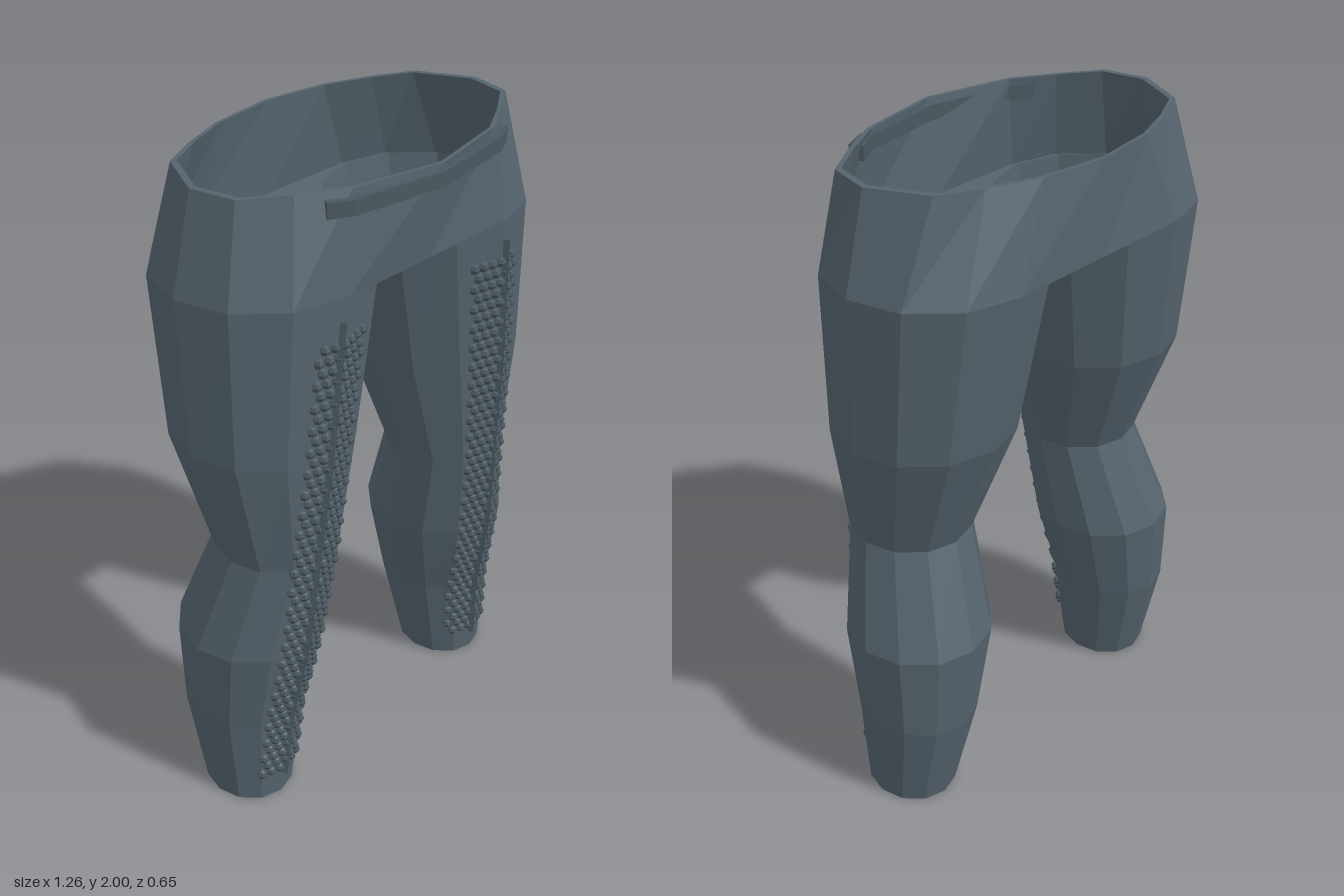
import * as THREE from 'three';
import { mergeGeometries } from 'three/addons/utils/BufferGeometryUtils.js';

const SIDES = 12;
const WALL = 0.02;
const HIP_Y = 1.73;

// Leg sections: y, centre x, radius x, centre z, radius z
const SECTIONS = [
  [0, 0.465, 0.13, -0.005, 0.145],
  [0.32, 0.448, 0.172, -0.03, 0.192],
  [0.6, 0.417, 0.213, -0.015, 0.225],
  [0.91, 0.366, 0.176, 0.055, 0.185],
  [1.27, 0.35, 0.26, 0, 0.265],
  [HIP_Y, 0.307, 0.305, -0.02, 0.305],
];

const cloth = new THREE.MeshStandardMaterial({ color: 0x55636d, flatShading: true });
const clothTwoSided = new THREE.MeshStandardMaterial({ color: 0x55636d, flatShading: true, side: THREE.DoubleSide });
const trim = new THREE.MeshStandardMaterial({ color: 0x4a5760, flatShading: true });

function addMesh(parent, name, geometry, material) {
  const mesh = new THREE.Mesh(geometry, material);
  mesh.name = name;
  parent.add(mesh);
}

// Skins a closed chain of rings: up the outside, down the inside, back to the start
function loftShell(rings) {
  const n = rings[0].length;
  const index = [];
  rings.forEach((_, i) => {
    const next = (i + 1) % rings.length;
    for (let j = 0; j < n; j++) {
      const k = (j + 1) % n;
      const a = i * n + j, b = i * n + k, c = next * n + k, d = next * n + j;
      index.push(a, b, c, a, c, d);
    }
  });
  const geometry = new THREE.BufferGeometry().setFromPoints(rings.flat());
  geometry.setIndex(index);
  const flat = geometry.toNonIndexed();
  flat.computeVertexNormals();
  return flat;
}

function legRing([y, cx, rx, cz, rz], side, inset) {
  return Array.from({ length: SIDES }, (_, j) => {
    const a = (j / SIDES) * Math.PI * 2;
    return new THREE.Vector3(side * cx + (rx - inset) * Math.sin(a), y, cz + (rz - inset) * Math.cos(a));
  });
}

// Front surface depth of the faceted left leg at (x, y)
function frontZ(x, y) {
  let i = 0;
  while (i < SECTIONS.length - 2 && y > SECTIONS[i + 1][0]) i++;
  const p = SECTIONS[i], q = SECTIONS[i + 1];
  const t = (y - p[0]) / (q[0] - p[0]);
  const [, cx, rx, cz, rz] = p.map((v, k) => v + (q[k] - v) * t);
  const u = Math.abs(x - cx) / rx;
  return cz + rz * (u < 0.5 ? 1 - 0.268 * u : 1.366 - u);
}

// Half outline (front centre to back centre) completed by its mirror image
function hipRing(half, y, scale) {
  const mirrored = half.slice(1, -1).reverse().map(([x, z]) => [-x, z]);
  return [...half, ...mirrored].map(([x, z]) => new THREE.Vector3(x * scale, y, z * scale));
}

function makeHips() {
  const [, cx, rx, cz, rz] = SECTIONS[SECTIONS.length - 1];
  const low = [[0, cz + rz]];
  for (let k = 0; k <= 6; k++) {
    const a = (k / SIDES) * Math.PI * 2;
    low.push([cx + rx * Math.sin(a), cz + rz * Math.cos(a)]);
  }
  low.push([0, cz - rz]);
  const high = [
    [0, 0.32], [0.27, 0.262], [0.395, 0.19], [0.51, 0.11], [0.538, -0.02],
    [0.46, -0.18], [0.345, -0.24], [0.2, -0.295], [0, -0.322],
  ];
  return loftShell([
    hipRing(low, HIP_Y, 1), hipRing(high, 2, 1),
    hipRing(high, 2, 0.965), hipRing(low, HIP_Y, 0.965),
  ]);
}

// Flat panel between the tops of the legs, in front (dir 1) or behind (dir -1)
function makeGusset(dir) {
  const [, cx, rx, cz, rz] = SECTIONS[SECTIONS.length - 1];
  const right = [];
  for (let k = 0; k <= 3; k++) {
    const a = (k / SIDES) * Math.PI * 2;
    right.push(new THREE.Vector2(cx - rx * Math.sin(a), cz + dir * rz * Math.cos(a)));
  }
  const left = right.map((p) => new THREE.Vector2(-p.x, p.y)).reverse();
  return new THREE.ShapeGeometry(new THREE.Shape([...right, ...left]))
    .rotateX(Math.PI / 2).translate(0, HIP_Y, 0);
}

// Staggered grid of small beads down the front of a leg
function makeStuds(side) {
  const beads = [];
  const rows = 46, columns = 6;
  for (let r = 0; r < rows; r++) {
    const t = r / (rows - 1);
    const y = 1.6 - 1.49 * t;
    for (let c = 0; c < columns; c++) {
      const x = 0.308 + 0.142 * t + (c - 2.5) * 0.029 + (r % 2 ? 0.007 : -0.007);
      beads.push(new THREE.SphereGeometry(0.016, 6, 4).translate(side * x, y, frontZ(x, y)));
    }
  }
  return mergeGeometries(beads);
}

// Thin piping running through the bead panel
function makePiping(side) {
  const points = [];
  for (let i = 0; i <= 16; i++) {
    const y = 1.67 - (1.59 * i) / 16;
    const x = 0.325 + (0.13 * i) / 16;
    points.push(new THREE.Vector3(side * x, y, frontZ(x, y) + 0.006));
  }
  return new THREE.TubeGeometry(new THREE.CatmullRomCurve3(points), 32, 0.012, 4);
}

// Raised band across the front of the waist
function makeWaistBand() {
  const outer = [[-0.345, 0.25], [-0.28, 0.283], [0, 0.328], [0.28, 0.283], [0.345, 0.25]];
  const inner = [[0.325, 0.215], [0.26, 0.255], [0, 0.3], [-0.26, 0.255], [-0.325, 0.215]];
  const shape = new THREE.Shape([...outer, ...inner].map(([x, z]) => new THREE.Vector2(x, z)));
  return new THREE.ExtrudeGeometry(shape, { depth: 0.042, bevelEnabled: false })
    .rotateX(Math.PI / 2).translate(0, 1.98, 0);
}

export function createModel() {
  const model = new THREE.Group();
  model.name = 'trousers';

  addMesh(model, 'hips', makeHips(), cloth);
  addMesh(model, 'waistBand', makeWaistBand(), trim);
  addMesh(model, 'frontGusset', makeGusset(1), clothTwoSided);
  addMesh(model, 'backGusset', makeGusset(-1), clothTwoSided);

  for (const [label, side] of [['left', 1], ['right', -1]]) {
    const leg = new THREE.Group();
    leg.name = `${label}Leg`;
    const outside = SECTIONS.map((s) => legRing(s, side, 0));
    const inside = SECTIONS.map((s) => legRing(s, side, WALL)).reverse();
    addMesh(leg, `${label}LegCloth`, loftShell([...outside, ...inside]), cloth);
    addMesh(leg, `${label}Studs`, makeStuds(side), trim);
    addMesh(leg, `${label}Piping`, makePiping(side), trim);
    model.add(leg);
  }
  return model;
}
